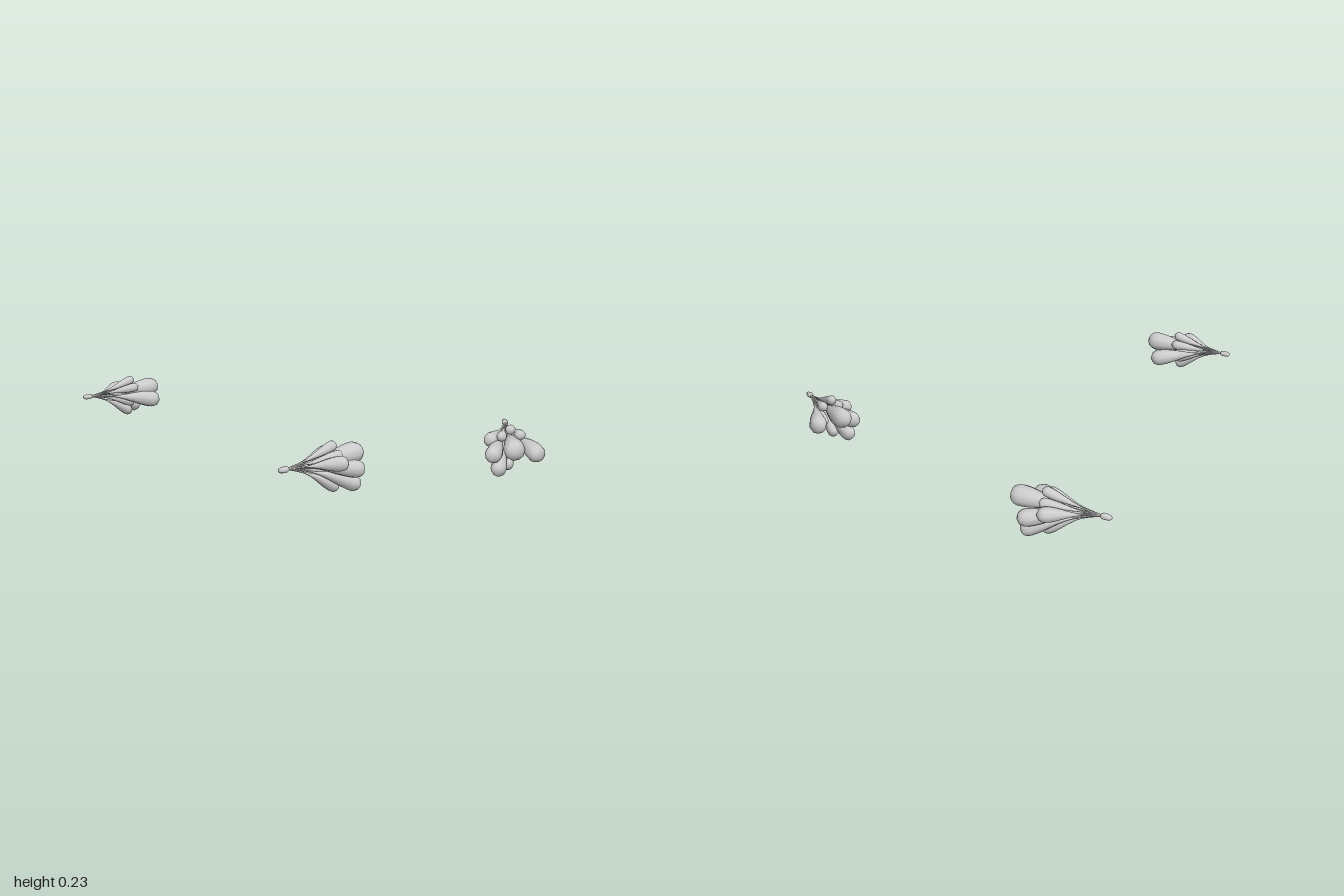
import * as THREE from 'three';
import { mergeVertices } from 'three/addons/utils/BufferGeometryUtils.js';

const KNOT = [0.855, 0.163, 0.21];

// Each petal: name, tip position, bulb radius
const PETALS = [
  ['topPetal', [0.855, 0.23, -0.088], 0.025],
  ['centrePetal', [0.855, 0.166, -0.255], 0.052],
  ['outerUpperPetal', [0.967, 0.168, -0.066], 0.036],
  ['outerPetal', [0.965, 0.118, -0.17], 0.042],
  ['outerLowerPetal', [0.94, 0.034, -0.168], 0.039],
  ['lowerPetal', [0.882, 0.022, -0.082], 0.03],
  ['innerPetal', [0.73, 0.11, -0.19], 0.046],
  ['innerUpperPetal', [0.802, 0.192, -0.088], 0.026],
  ['outerSmallPetal', [0.905, 0.192, -0.085], 0.025],
  ['innerSmallPetal', [0.822, 0.092, -0.07], 0.026],
];

// Teardrop on a thin stem, swept along a flaring curve
function petalGeometry(tip, radius) {
  const start = new THREE.Vector3(...KNOT);
  const end = new THREE.Vector3(...tip);
  const bend = start.clone().lerp(end, 0.45);
  bend.x = THREE.MathUtils.lerp(start.x, end.x, 0.33);
  bend.y = THREE.MathUtils.lerp(start.y, end.y, 0.22);
  const curve = new THREE.QuadraticBezierCurve3(start, bend, end);
  const segments = 28, sides = 10;
  const geo = new THREE.TubeGeometry(curve, segments, 1, sides);
  const pos = geo.attributes.position;
  const v = new THREE.Vector3();
  const cap = radius * 1.15 / curve.getLength();
  for (let i = 0; i <= segments; i++) {
    const t = i / segments;
    const p = curve.getPointAt(t);
    const swell = THREE.MathUtils.smoothstep(t, 0.3, 1 - cap);
    let r = 0.004 + (radius - 0.004) * swell;
    const k = Math.max(0, (t - 1 + cap) / cap);
    r *= Math.sqrt(Math.max(0, 1 - k * k));
    for (let j = 0; j <= sides; j++) {
      const n = i * (sides + 1) + j;
      v.fromBufferAttribute(pos, n).sub(p).multiplyScalar(r).add(p);
      pos.setXYZ(n, v.x, v.y, v.z);
    }
  }
  // Weld the seam so the shading is smooth all round
  geo.deleteAttribute('uv');
  geo.deleteAttribute('normal');
  const welded = mergeVertices(geo, 1e-5);
  welded.computeVertexNormals();
  return welded;
}

// Small tapered bead that gathers the stems
function knotGeometry() {
  const profile = [[0, 0], [0.012, 0.001], [0.0155, 0.012], [0.0145, 0.032], [0.011, 0.048], [0, 0.056]]
    .map(([x, y]) => new THREE.Vector2(x, y));
  const geo = new THREE.LatheGeometry(profile, 10);
  geo.rotateX(Math.PI / 2);
  geo.translate(KNOT[0], KNOT[1], 0.2);
  return geo;
}

// Reflect across x = 0 and turn the faces back outward
function mirrored(geo) {
  const g = geo.clone().scale(-1, 1, 1);
  const index = g.index;
  for (let i = 0; i < index.count; i += 3) {
    const a = index.getX(i);
    index.setX(i, index.getX(i + 2));
    index.setX(i + 2, a);
  }
  g.computeVertexNormals();
  return g;
}

export function createModel() {
  const model = new THREE.Group();
  model.name = 'tuftPair';
  const material = new THREE.MeshStandardMaterial({ color: 0xcccccc, side: THREE.DoubleSide });
  const parts = PETALS.map(([name, tip, radius]) => [name, petalGeometry(tip, radius)]);
  parts.push(['knot', knotGeometry()]);

  for (const side of ['left', 'right']) {
    const tuft = new THREE.Group();
    tuft.name = side + 'Tuft';
    for (const [name, geo] of parts) {
      const mesh = new THREE.Mesh(side === 'left' ? geo : mirrored(geo), material);
      mesh.name = name;
      tuft.add(mesh);
    }
    model.add(tuft);
  }
  return model;
}
